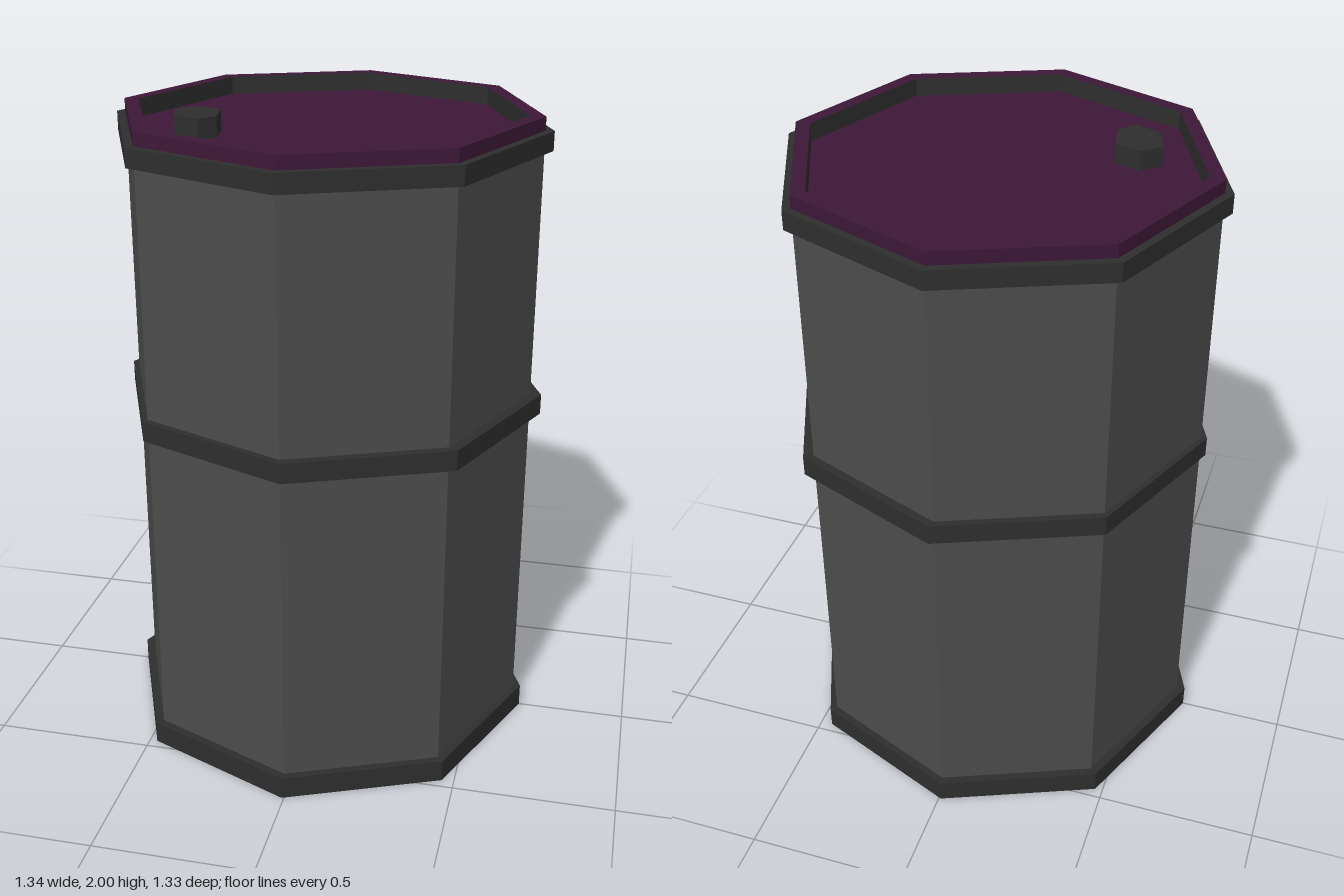
import * as THREE from 'three';

const SIDES = 8;
const mat = (color) => new THREE.MeshStandardMaterial({ color, flatShading: true });

export function createModel() {
  const model = new THREE.Group();
  const steel = mat(0x4c4c4c);
  const dark = mat(0x2e2e2e);
  const paint = mat(0x3d1838);

  // Revolves an [radius, y] profile, listed upwards on its outer side
  function lathe(name, profile, material, x = 0, z = 0) {
    const points = profile.map(([r, y]) => new THREE.Vector2(r, y));
    const mesh = new THREE.Mesh(new THREE.LatheGeometry(points, SIDES), material);
    mesh.name = name;
    mesh.position.set(x, 0, z);
    model.add(mesh);
    return mesh;
  }

  // Octagonal drum wall
  lathe('body', [[0.637, 0.03], [0.637, 1.95]], steel, -0.005);

  // Hoops at the bottom, middle and top
  const hoops = [
    ['bottomHoop', 0, 0.072, -0.007],
    ['middleHoop', 1.075, 1.138, 0.003],
    ['topHoop', 1.897, 1.955, -0.005],
  ];
  for (const [name, y0, y1, x] of hoops) {
    lathe(name, [[0.62, y0], [0.663, y0], [0.663, y1], [0.62, y1]], dark, x);
  }

  // Closed underside
  lathe('base', [[0, 0.001], [0.65, 0.001]], dark, -0.007);

  // Painted rim, grey inner wall and sunken painted lid
  lathe('rim', [[0.637, 1.95], [0.637, 1.995], [0.592, 1.995]], paint, -0.005);
  lathe('rimInnerWall', [[0.592, 1.995], [0.592, 1.94]], dark, -0.005);
  lathe('lid', [[0.592, 1.94], [0, 1.94]], paint, -0.005);

  // Slightly uneven six-sided filler cap, outlined in x and z
  const outline = [[-0.325, 0.27], [-0.283, 0.225], [-0.3, 0.125],
    [-0.38, 0.095], [-0.434, 0.145], [-0.405, 0.24]];
  const shape = new THREE.Shape(outline.map(([x, z]) => new THREE.Vector2(x, -z)));
  const capGeometry = new THREE.ExtrudeGeometry(shape, { depth: 0.065, bevelEnabled: false });
  capGeometry.rotateX(-Math.PI / 2);
  const cap = new THREE.Mesh(capGeometry, dark);
  cap.name = 'fillerCap';
  cap.position.y = 1.935;
  model.add(cap);

  return model;
}
